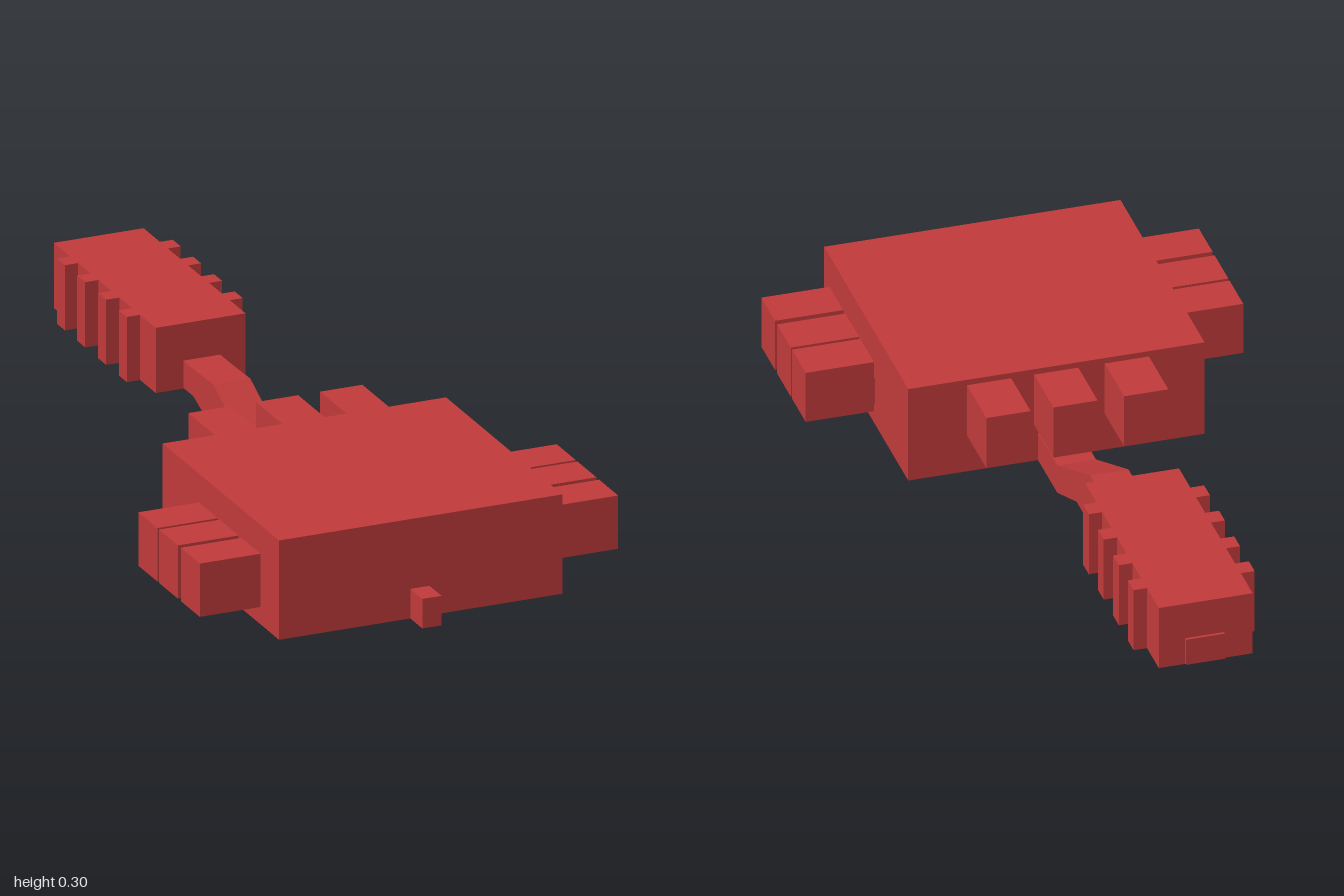
import * as THREE from 'three';

export function createModel() {
  const model = new THREE.Group();
  const red = new THREE.MeshStandardMaterial({ color: 0xc03a3a, flatShading: true });

  // Box given by its extents along each axis
  function box(name, [x0, x1], [y0, y1], [z0, z1]) {
    const mesh = new THREE.Mesh(new THREE.BoxGeometry(x1 - x0, y1 - y0, z1 - z0), red);
    mesh.position.set((x0 + x1) / 2, (y0 + y1) / 2, (z0 + z1) / 2);
    mesh.name = name;
    model.add(mesh);
  }

  // Main body and the small nub on its front
  box('body', [-0.383, 0.368], [0.003, 0.262], [0.23, 0.928]);
  box('frontNub', [-0.035, 0.016], [0.003, 0.08], [0.92, 1.0]);

  // Three blocks on short stems along each side
  for (const z of [0.532, 0.656, 0.787]) {
    box('leftBlock', [0.38, 0.553], [0.06, 0.199], [z - 0.057, z + 0.057]);
    box('leftStem', [0.36, 0.385], [0.06, 0.133], [z - 0.024, z + 0.024]);
    box('rightBlock', [-0.556, -0.395], [0.06, 0.199], [z - 0.057, z + 0.057]);
    box('rightStem', [-0.4, -0.375], [0.06, 0.133], [z - 0.024, z + 0.024]);
  }

  // Three blocks on stems across the back
  for (const x of [-0.182, -0.003, 0.167]) {
    box('backBlock', [x - 0.056, x + 0.056], [0.113, 0.255], [0.056, 0.217]);
    box('backStem', [x - 0.025, x + 0.025], [0.113, 0.19], [0.21, 0.24]);
  }

  // Cranked shaft: side profile (z, y) extruded across x
  const profile = [
    [0.25, 0.003], [0.07, 0.003], [-0.09, 0.07], [-0.15, 0.07], [-0.32, 0.134], [-1, 0.134],
    [-1, 0.205], [-0.31, 0.205], [-0.2, 0.208], [0.07, 0.08], [0.25, 0.08],
  ];
  const shape = new THREE.Shape(profile.map(([z, y]) => new THREE.Vector2(-z, y)));
  const shaftGeometry = new THREE.ExtrudeGeometry(shape, { depth: 0.098, bevelEnabled: false });
  shaftGeometry.rotateY(Math.PI / 2);
  const shaft = new THREE.Mesh(shaftGeometry, red);
  shaft.position.x = -0.059;
  shaft.name = 'shaft';
  model.add(shaft);

  // Grip with four ribs standing out on both sides
  box('grip', [-0.132, 0.106], [0.132, 0.302], [-0.992, -0.38]);
  for (const z of [-0.87, -0.748, -0.622, -0.498]) {
    box('gripRib', [-0.167, 0.14], [0.132, 0.302], [z - 0.024, z + 0.024]);
  }

  return model;
}
